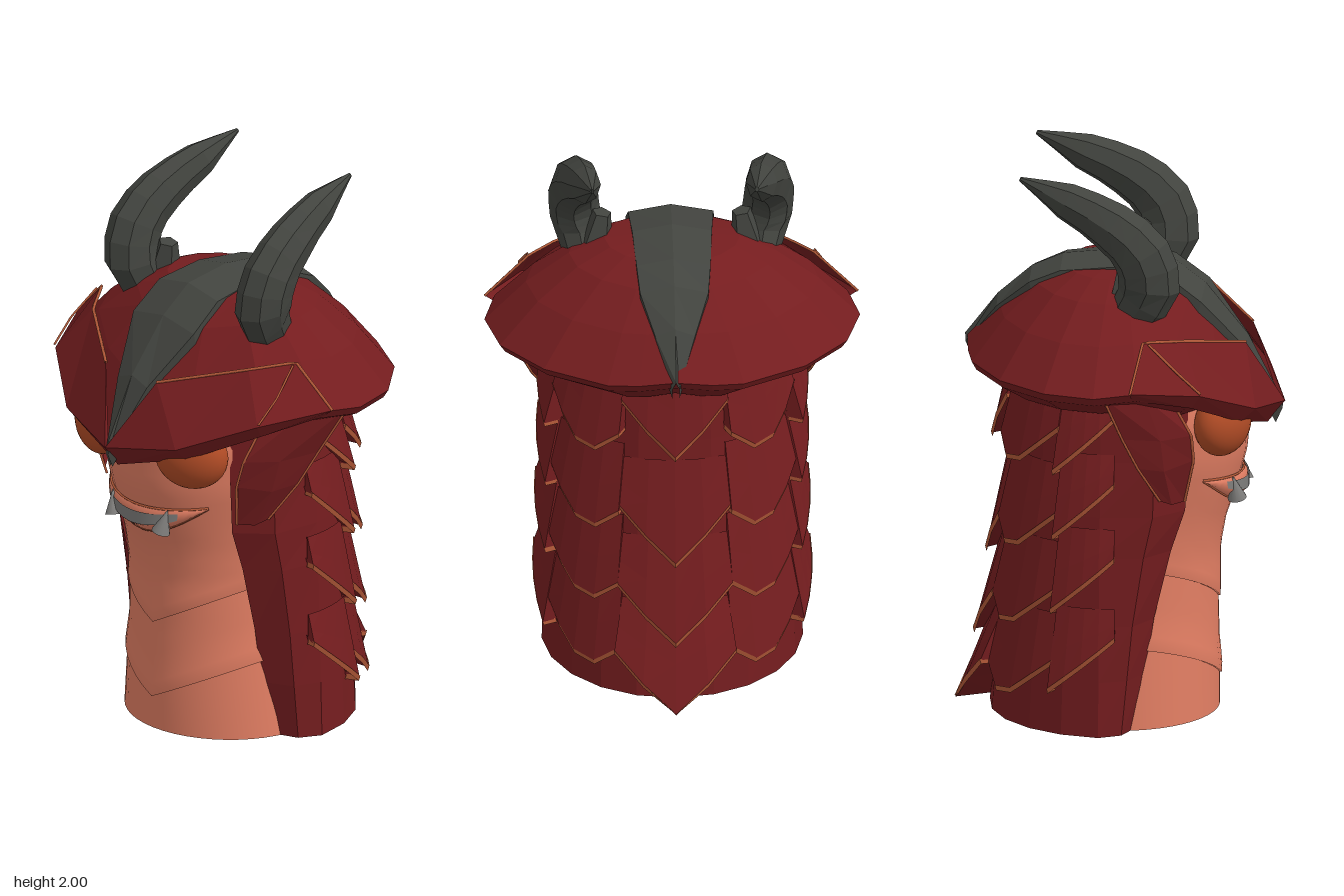
import * as THREE from 'three';

const mat = (name, color) => {
  const m = new THREE.MeshStandardMaterial({ color, side: THREE.DoubleSide });
  m.name = name;
  return m;
};
const lerp = THREE.MathUtils.lerp;
const V = (x, y, z) => new THREE.Vector3(x, y, z);

// Skin a list of equally long rows of points
function loft(rows, flat = true) {
  const pos = [], idx = [], n = rows[0].length;
  rows.forEach(r => r.forEach(p => pos.push(p.x, p.y, p.z)));
  for (let i = 0; i < rows.length - 1; i++)
    for (let j = 0; j < n - 1; j++) {
      const a = i * n + j, b = a + 1, c = a + n, d = c + 1;
      idx.push(a, b, c, b, d, c);
    }
  let g = new THREE.BufferGeometry();
  g.setAttribute('position', new THREE.Float32BufferAttribute(pos, 3));
  g.setIndex(idx);
  if (flat) g = g.toNonIndexed();
  g.computeVertexNormals();
  return g;
}

// Interpolate a table whose first column is y
function table(rows, y) {
  let i = 0;
  while (i < rows.length - 2 && y > rows[i + 1][0]) i++;
  const [a, b] = [rows[i], rows[i + 1]];
  const t = THREE.MathUtils.clamp((y - a[0]) / (b[0] - a[0]), 0, 1);
  return a.map((v, k) => lerp(v, b[k], t));
}

// Body: y, half width, front depth, back depth
const BODY = [[0, .365, .35, .43], [.2, .345, .35, .4], [.4, .33, .345, .37], [.58, .32, .35, .34], [.7, .33, .375, .33],
  [.8, .345, .41, .33], [.95, .375, .45, .33], [1.1, .39, .46, .33], [1.28, .37, .42, .33]];
const bodyPoint = (u, y, out = 0) => {
  const [, w, f, b] = table(BODY, y), c = Math.cos(u);
  return V((w + out) * Math.sin(u), y, ((c > 0 ? f : b) + out) * c);
};

// Back shell: y, half width, back depth, front edge z; u is measured from the back
const SHELL = [[0, .46, .46, .07], [.2, .455, .445, .1], [.4, .45, .43, .13], [.65, .445, .41, .19], [.8, .44, .4, .24],
  [1, .43, .385, .25], [1.3, .41, .37, .25]];
const shellPoint = (u, y, out = 0) => {
  const [, w, b] = table(SHELL, y);
  return V((w + out) * Math.sin(u), y, -(b + out) * Math.cos(u));
};

export function createModel() {
  const root = new THREE.Group();
  root.name = 'hornedSerpentBust';
  const red = mat('armourRed', 0x751d1f), skin = mat('salmonSkin', 0xe27e63), horn = mat('charcoalHorn', 0x42443f);
  const trimM = mat('copperTrim', 0xb85c3a), eyeM = mat('eyeOrange', 0xb24c26), toothM = mat('toothGrey', 0x7e7d7b);
  const add = (name, geo, m) => {
    const mesh = new THREE.Mesh(geo, m);
    mesh.name = name;
    root.add(mesh);
    return mesh;
  };
  const trim = (name, pts, r = .006) => {
    const path = new THREE.CurvePath();
    for (let i = 0; i < pts.length - 1; i++) path.add(new THREE.LineCurve3(pts[i], pts[i + 1]));
    add(name, new THREE.TubeGeometry(path, pts.length * 6, r, 4), trimM);
  };

  // Body in three overlapping sections with V-shaped lower edges
  const us = Array.from({ length: 49 }, (_, i) => -Math.PI + i * Math.PI / 24);
  const vee = (y0, dy = 0) => us.map(u => bodyPoint(u, y0 + dy + .5 * Math.abs(.35 * Math.sin(u))));
  const between = (a, b, n) => Array.from({ length: n + 1 }, (_, i) =>
    us.map((u, j) => bodyPoint(u, lerp(a[j].y, b[j].y, i / n), lerp(.008, 0, Math.min(1, i / n * 3)))));
  const base = us.map(u => bodyPoint(u, 0)), top = us.map(u => bodyPoint(u, 1.28));
  add('bellyLower', loft([base, vee(.12, .03)], false), skin);
  add('bellyMiddle', loft([vee(.12), ...between(vee(.12), vee(.4, .03), 6)], false), skin);
  add('neckAndFace', loft([vee(.4), ...between(vee(.4), top, 18)], false), skin);
  add('bodyBase', loft([base, base.map(() => V(0, 0, -.04))], false), skin);

  // Back shell
  const half = y => {
    const [, , , zf] = table(SHELL, y);
    const pts = [0, .3, .6, .9, 1.2, 1.5].map(u => shellPoint(u, y));
    return [...pts, V(.42, y, zf * .65), V(.31, y, zf + .02)];
  };
  const mirror = pts => pts.map(p => V(-p.x, p.y, p.z));
  const both = pts => [...mirror(pts.slice(1)).reverse(), ...pts];
  add('backShell', loft(SHELL.map(r => both(half(r[0])))), red);

  // Pointed overlapping scales, hugging the shell, with closed undersides
  function scale(u0, du, yTip, h, drop, skew, lift) {
    const js = [-1, -1, -.5, 0, .5, 1, 1];
    const row = (t, grow = 0, dy = 0, hug = 1) => js.map((j, k) => {
      const d = Math.abs(j - skew) / (1 + Math.abs(skew));
      const y = lerp(yTip + drop * d, yTip + h, t);
      const out = k === 0 || k === 6 ? 0 : lerp(.012 + lift * (1 - .45 * d), .004, t);
      return shellPoint(u0 + j * du, Math.max(0, y + dy), out * hug + grow);
    });
    add('scale', loft([row(0, -.01, .02, 0), row(0), row(.45), row(1)]), red);
    add('scaleTrim', loft([row(0, .003, .006), row(0, -.004, -.014)]), trimM);
  }
  [[0, .11], [.25, .065], [.55, .045], [.97, .055]].forEach(([y, l]) => scale(0, .42, y, .38, .2, 0, l));
  for (const s of [-1, 1]) {
    for (const [y, l] of [[.17, .04], [.46, .04], [.73, .045], [.97, .06]]) scale(s * 1.38, .25, y, .3, .2, -s, l);
    for (const [y, l] of [[.1, .04], [.36, .045], [.64, .045], [.95, .06]]) scale(s * .78, .36, y, .34, .17, -s * .3, l);
  }

  // Helmet dome
  const rim = both([V(0, 1.33, -.54), V(.13, 1.31, -.525), V(.24, 1.3, -.5), V(.46, 1.3, -.38), V(.61, 1.3, -.21),
    V(.66, 1.3, -.03), V(.62, 1.31, .12), V(.52, 1.27, .3), V(.28, 1.16, .46), V(0, 1.1, .56)]).slice(1);
  rim.unshift(rim[rim.length - 1]);
  const dome = [[1, 0], [.78, .44], [.55, .77], [.36, .93], [0, 1]].map(([s, h]) =>
    rim.map(p => V(p.x * s, lerp(p.y, 1.637, h), p.z * s)));
  add('helmetDome', loft(dome), red);
  add('helmetUnderside', loft([rim, rim.map(p => V(p.x * .97, p.y - .03, p.z * .97)),
    rim.map(p => V(p.x * .7, Math.max(1.16, p.y - .11), p.z * .78))]), red);

  // Central crest: z, y, half width
  const crest = [[.572, 1.12, .004], [.45, 1.36, .075], [.3, 1.545, .155], [.18, 1.635, .15], [0, 1.66, .14],
    [-.2, 1.638, .13], [-.31, 1.59, .12], [-.43, 1.485, .07], [-.545, 1.335, .012]];
  add('crest', loft(crest.map(([z, y, w]) => [V(-w, y - .08, z * .96), V(-w, y - .028, z), V(0, y, z * 1.005),
    V(w, y - .028, z), V(w, y - .08, z * .96)])), horn);

  for (const s of [-1, 1]) {
    const S = pts => pts.map(([x, y, z]) => V(s * x, y, z));
    // Brow visor
    const vTop = S([[0, 1.11, .565], [.13, 1.37, .455], [.4, 1.445, .265], [.5, 1.465, .13]]);
    const vMid = S([[0, 1.12, .582], [.28, 1.17, .505], [.52, 1.28, .335], [.655, 1.32, .1]]);
    const vLow = S([[0, 1.04, .52], [.28, 1.12, .45], [.5, 1.23, .3], [.6, 1.28, .1]]);
    add('browVisor', loft([vTop, vMid, vLow]), red);
    trim('browVisorTrim', [...vTop.slice(1), vMid[3]]);
    trim('browSeam', S([[.505, 1.46, .15], [.53, 1.37, .25], [.525, 1.29, .335]]), .005);
    // Cheek guard
    const front = S([[.43, 1.24, .22], [.4, 1.1, .29], [.37, 1, .295], [.335, .84, .26]]);
    const mid = S([[.53, 1.27, .14], [.48, 1.1, .19], [.45, .98, .2], [.385, .84, .22]]);
    const back = S([[.63, 1.3, 0], [.54, 1.12, .06], [.49, 1, .11], [.41, .86, .18]]);
    const inner = S([[.4, 1.28, -.03], [.4, 1.12, .03], [.4, 1, .09], [.38, .87, .15]]);
    add('cheekGuard', loft([front, mid, back, inner]), red);
    trim('cheekFrontTrim', front);
    trim('cheekBackTrim', back, .005);

    // Horn, tapering along a backward curve
    const path = new THREE.CatmullRomCurve3(S([[.31, 1.5, .07], [.335, 1.62, .135], [.345, 1.74, .11],
      [.335, 1.84, .0], [.31, 1.92, -.16], [.29, 1.99, -.325]]));
    const radii = [.085, .11, .106, .092, .068, .008];
    const hornRings = Array.from({ length: 11 }, (_, i) => {
      const t = i / 10, k = Math.min(4, Math.floor(t * 5)), r = lerp(radii[k], radii[k + 1], t * 5 - k);
      const p = path.getPoint(t), n = V(1, 0, 0).cross(path.getTangent(t)).normalize();
      return Array.from({ length: 9 }, (_, j) => {
        const a = j * Math.PI / 4;
        return p.clone().addScaledVector(n, r * Math.sin(a)).add(V(r * .82 * Math.cos(a), 0, 0));
      });
    });
    add('horn', loft(hornRings), horn);
    const spur = add('hornSpur', new THREE.CylinderGeometry(.035, .075, .17, 5).toNonIndexed(), horn);
    spur.geometry.computeVertexNormals();
    spur.position.set(s * .262, 1.6, .05);
    spur.rotation.z = s * .2;

    // Eye, turned to follow the face
    const eye = add('eye', new THREE.SphereGeometry(1, 28, 18), eyeM);
    eye.scale.set(.135, .12, .085);
    eye.position.set(s * .235, 1.105, .385);
    eye.rotation.y = s * .45;

    // Fang
    const fang = add('fang', new THREE.ConeGeometry(.034, .09, 12), toothM);
    fang.position.set(s * .13, .837, .418);
    fang.rotation.set(-.15, 0, -s * .25);
  }

  // Mouth: lips, tooth band and outline following the face
  const mouth = (w, y0, yq, out) => Array.from({ length: 21 }, (_, i) => {
    const q = i / 10 - 1;
    return bodyPoint(Math.asin(w * q / .35), y0 + yq * q * q, out * (1 - q * q * .8));
  });
  const lipTop = mouth(.24, .87, .02, .006), lipLow = mouth(.24, .768, .12, .006);
  add('lips', loft([lipTop, mouth(.24, .85, .038, .025), mouth(.24, .8, .086, .038), lipLow], false), skin);
  add('teethBand', loft([mouth(.21, .852, .026, .03), mouth(.21, .805, .065, .043)], false), toothM);
  trim('upperLipLine', lipTop, .005);
  trim('lowerLipLine', lipLow, .004);
  return root;
}
